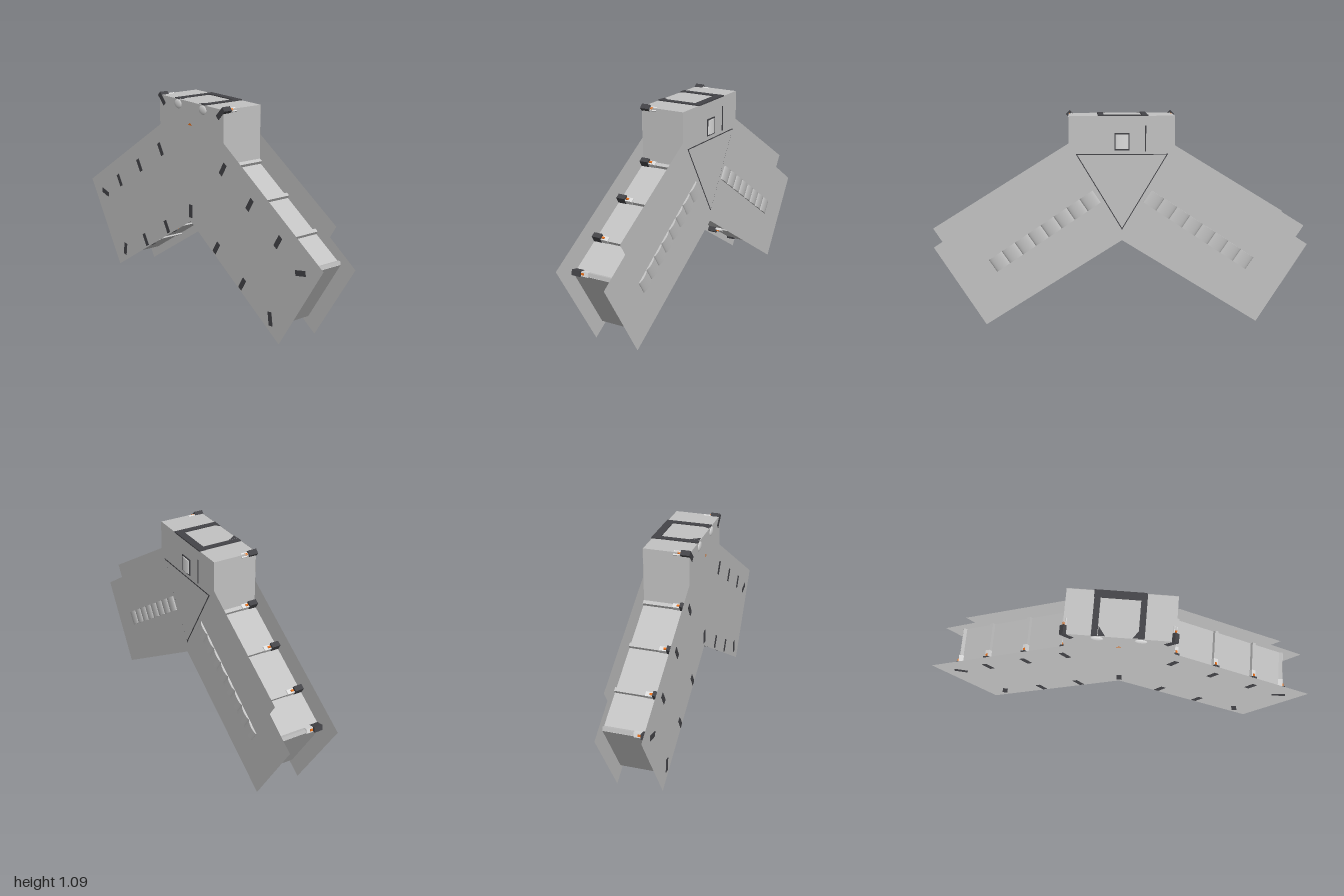
import * as THREE from 'three';

const mat = (name, color) => {
  const m = new THREE.MeshStandardMaterial({ color, side: THREE.DoubleSide });
  m.name = name;
  return m;
};

export function createModel() {
  const grey = mat('light grey', 0xc2c2c2);
  const dark = mat('charcoal', 0x444448);
  const white = mat('pale grey', 0xdcdcdc);
  const orange = mat('orange', 0xe8701c);
  const FRONT = 0.123, BACK = -0.115;
  const model = new THREE.Group();

  const add = (name, geo, material, x = 0, y = 0, z = 0, parent = model) => {
    const m = new THREE.Mesh(geo, material);
    m.name = name;
    m.position.set(x, y, z);
    parent.add(m);
    return m;
  };
  const box = (name, w, h, d, material, x, y, z, parent) =>
    add(name, new THREE.BoxGeometry(w, h, d), material, x, y, z, parent);
  // Outline given for +x (bottom centre to top), mirrored to -x
  const symmetric = (pts) => {
    const other = pts.filter((p) => p[0] > 0).reverse().map(([x, y]) => [-x, y]);
    return new THREE.Shape([...pts, ...other].map(([x, y]) => new THREE.Vector2(x, y)));
  };

  // Walls of the two wings and the entrance block
  const walls = symmetric([[0, 0.49], [0.66, 0.08], [0.87, 0.41], [0.27, 0.785], [0.27, 1.08]]);
  add('walls', new THREE.ExtrudeGeometry(walls, { depth: FRONT - BACK - 0.004, bevelEnabled: false }),
    grey, 0, 0, BACK + 0.002);

  // Overhanging sheets on both sides
  add('frontPlate', new THREE.ShapeGeometry(symmetric(
    [[0, 0.45], [0.71, 0.01], [1, 0.465], [0.27, 0.92], [0.27, 1.08]])), grey, 0, 0, FRONT);
  add('backPlate', new THREE.ShapeGeometry(symmetric(
    [[0, 0.44], [0.705, 0], [0.965, 0.41], [0.79, 0.525], [0.83, 0.587], [0.27, 0.93], [0.27, 1.08]])),
    grey, 0, 0, BACK);

  // Raised triangular roof with a dark rim
  const triangle = (s) => new THREE.ShapeGeometry(new THREE.Shape(
    [[-0.235, 0.887], [0, 0.495], [0.235, 0.887]].map(([x, y]) =>
      new THREE.Vector2(x * s, 0.757 + (y - 0.757) * s))));
  add('triangleRim', triangle(1), dark, 0, 0, BACK - 0.002);
  add('triangleRoof', triangle(0.965), grey, 0, 0, BACK - 0.004);

  // Rib with a dark foot; local +y points out of the wall
  const rib = (x, y, angle, size = 1) => {
    const g = new THREE.Group();
    g.name = 'wallRib';
    g.position.set(x, y, 0);
    g.rotation.z = angle;
    g.scale.set(size, size, 1);
    box('ribPost', 0.02, 0.035, 0.155, grey, 0, 0, -0.036, g);
    box('ribNeck', 0.024, 0.045, 0.04, white, 0, 0, 0.06, g);
    box('ribFoot', 0.027, 0.07, 0.047, dark, 0, 0, 0.1015, g);
    box('ribLight', 0.01, 0.006, 0.014, orange, 0, 0.024, 0.068, g);
    model.add(g);
  };
  const slope = Math.atan2(0.527, 0.85);
  for (const s of [-1, 1]) {
    for (const x of [0.27, 0.48, 0.69]) rib(s * x, 0.41 + (0.87 - x) * 0.625, -s * slope);
    for (const x of [0.22, 0.43]) rib(s * x, 0.5 - x * 0.62, Math.PI - s * slope);
    rib(s * 0.85, 0.415, -s * 1.35);
    rib(s * 0.645, 0.12, Math.PI + s * 0.15);
    rib(s * 0.25, 1.06, -s * Math.PI / 4);
  }
  rib(0, 0.505, Math.PI);

  // Barrel skylights along each wing
  const barrel = new THREE.CylinderGeometry(1, 1, 1, 16, 1, false, 0, Math.PI);
  barrel.rotateY(Math.PI / 2); // curved side to -z
  for (const s of [-1, 1]) {
    const n = 8, a = [0.13, 0.67], b = [0.665, 0.312];
    const len = Math.hypot(b[0] - a[0], b[1] - a[1]) / n;
    for (let i = 0; i < n; i++) {
      const t = (i + 0.5) / n;
      const m = add('skylight', barrel, grey,
        s * (a[0] + (b[0] - a[0]) * t), a[1] + (b[1] - a[1]) * t, BACK - 0.001);
      m.scale.set(len / 2, 0.075, 0.011);
      m.rotation.z = s * Math.atan2(b[1] - a[1], b[0] - a[0]);
    }
  }

  // Small roof hatch on the entrance block
  box('hatchFrame', 0.078, 0.088, 0.004, dark, 0, 0.95, BACK - 0.002);
  const hatch = add('hatchDome', barrel, white, 0, 0.95, BACK - 0.003);
  hatch.scale.set(0.033, 0.074, 0.007);
  box('roofSeam', 0.006, 0.13, 0.004, dark, -0.12, 0.965, BACK - 0.001);

  // Dark door frame on the end of the entrance block
  const top = 1.082;
  box('doorLintel', 0.25, 0.006, 0.04, dark, -0.01, top, -0.097);
  for (const x of [-0.118, 0.107]) box('doorJamb', 0.03, 0.006, 0.236, dark, x, top, 0.003);
  for (const s of [-1, 1]) {
    const corner = new THREE.Shape([[0, 0], [0, 0.05], [-0.035, 0.05]].map(([x, z]) =>
      new THREE.Vector2(s * x, z)));
    const m = add('doorCorner', new THREE.ShapeGeometry(corner), dark, s * 0.1, top + 0.002, 0.07);
    m.rotation.x = Math.PI / 2;
    // Lamp beside the door
    const lamp = add('lamp', new THREE.SphereGeometry(1, 16, 10), white, s * 0.105, 1.055, FRONT - 0.001);
    lamp.scale.set(0.032, 0.024, 0.007);
  }

  // Marker light on the front plate
  const marker = new THREE.Shape([[-0.017, 0], [0.017, 0], [0, 0.012]].map(([x, y]) => new THREE.Vector2(x, y)));
  add('markerLight', new THREE.ShapeGeometry(marker), orange, 0, 0.96, FRONT + 0.002);

  return model;
}
